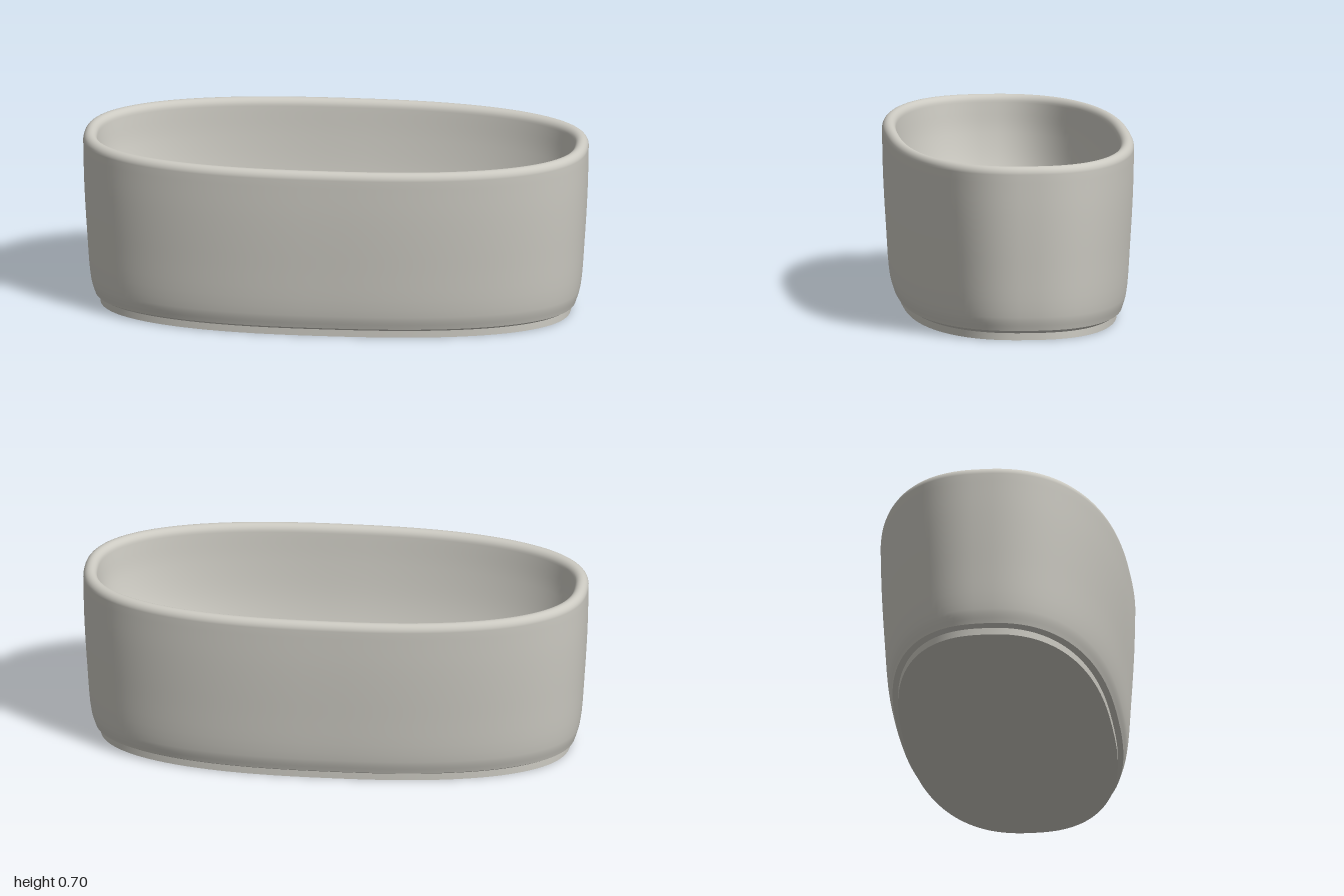
import * as THREE from 'three';

const SEGMENTS = 128;

// Superellipse outline with half-axes a and b
function outline(a, b, t, n = 2.45) {
  const p = (v) => Math.sign(v) * Math.pow(Math.abs(v), 2 / n);
  return [a * p(Math.cos(t)), b * p(Math.sin(t))];
}

// Smooth surface through stacked outlines given as [y, halfX, halfZ]
function loft(rings) {
  const positions = [];
  const index = [];
  rings.forEach(([y, a, b], i) => {
    for (let j = 0; j < SEGMENTS; j++) {
      const [x, z] = outline(a, b, (j / SEGMENTS) * Math.PI * 2);
      positions.push(x, y, z);
      if (i === rings.length - 1) continue;
      const k = (j + 1) % SEGMENTS;
      const p = i * SEGMENTS + j, q = i * SEGMENTS + k;
      const r = p + SEGMENTS, s = q + SEGMENTS;
      index.push(p, r, q, q, r, s);
    }
  });
  const geometry = new THREE.BufferGeometry();
  geometry.setAttribute('position', new THREE.Float32BufferAttribute(positions, 3));
  geometry.setIndex(index);
  geometry.computeVertexNormals();
  return geometry;
}

// Evenly sampled smooth curve through [y, halfX, halfZ] stations
function smooth(stations, count) {
  const curve = new THREE.CatmullRomCurve3(stations.map((s) => new THREE.Vector3(...s)), false, 'centripetal');
  return curve.getPoints(count).map((p) => p.toArray());
}

export function createModel() {
  const tub = new THREE.Group();
  tub.name = 'bathtub';
  const stone = new THREE.MeshStandardMaterial({ color: 0xcccac2 });
  stone.name = 'warm grey stone';

  const add = (name, rings) => {
    const mesh = new THREE.Mesh(loft(rings), stone);
    mesh.name = name;
    tub.add(mesh);
  };

  // Recessed foot
  add('footUnderside', [[0, 0, 0], [0, 0.932, 0.416]]);
  add('foot', [[0, 0.932, 0.416], [0.028, 0.932, 0.416]]);
  add('footLedge', [[0.028, 0.932, 0.416], [0.04, 0.952, 0.438]]);

  // Outer wall, rounded rim and inner basin in one continuous skin
  const outer = smooth([
    [0.04, 0.952, 0.438], [0.095, 0.968, 0.454], [0.3, 0.985, 0.47],
    [0.5, 0.996, 0.481], [0.67, 1, 0.485],
  ], 20);
  const rim = [];
  for (let i = 1; i < 12; i++) {
    const t = (i / 12) * Math.PI;
    const inset = 0.0275 * (1 - Math.cos(t));
    rim.push([0.67 + 0.03 * Math.sin(t), 1 - inset, 0.485 - inset]);
  }
  const inner = smooth([
    [0.67, 0.945, 0.43], [0.55, 0.925, 0.42], [0.4, 0.87, 0.4], [0.28, 0.78, 0.37],
    [0.19, 0.66, 0.33], [0.135, 0.52, 0.28], [0.12, 0.4, 0.235],
  ], 30);
  add('shell', [...outer, ...rim, ...inner]);

  // Flat basin floor
  add('basinFloor', [[0.12, 0.4, 0.235], [0.12, 0, 0]]);
  return tub;
}
